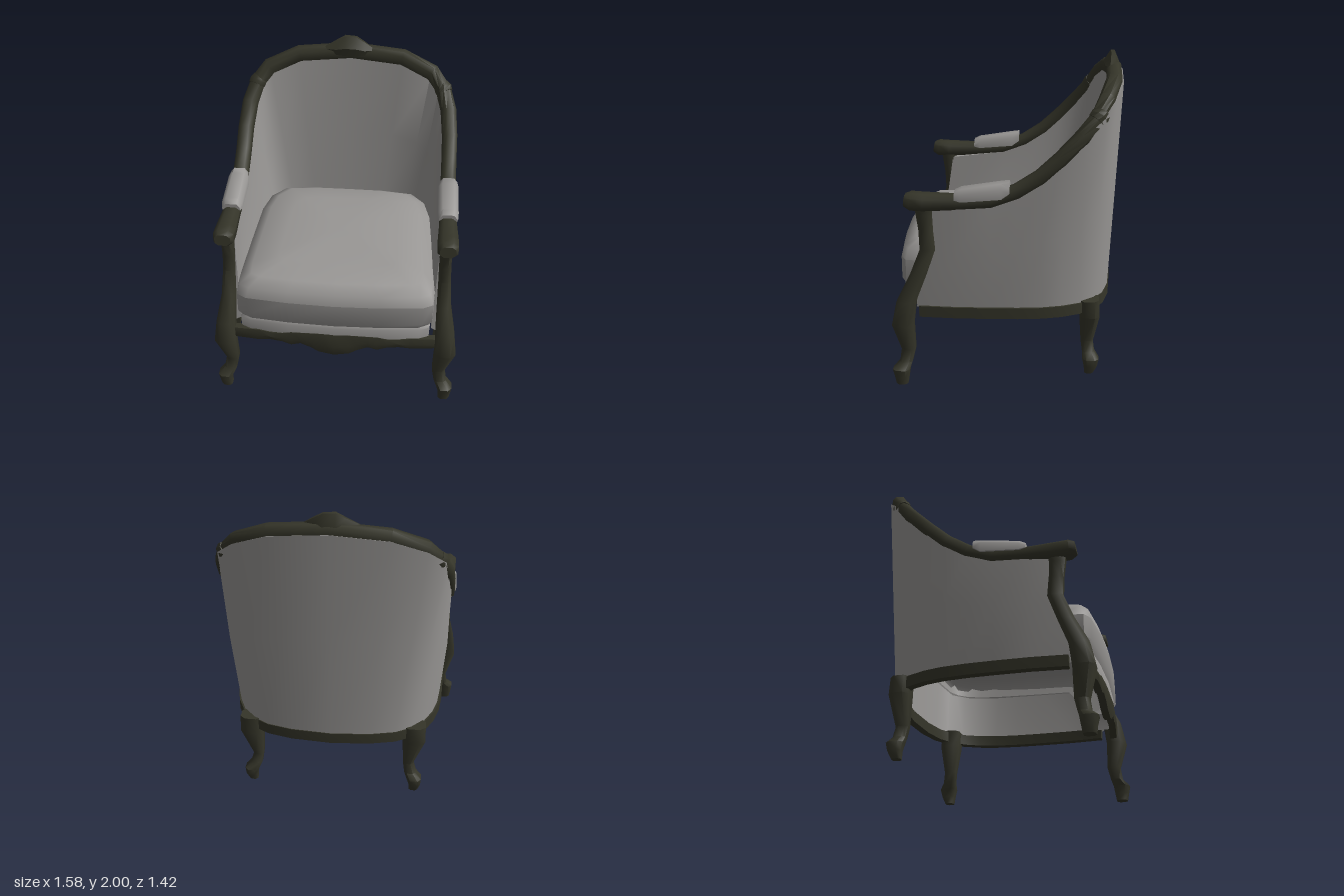
import * as THREE from 'three';
import { toCreasedNormals } from 'three/addons/utils/BufferGeometryUtils.js';

const wood = new THREE.MeshStandardMaterial({ color: 0x353529 });
wood.name = 'dark wood';
const fabric = new THREE.MeshStandardMaterial({ color: 0x999795, side: THREE.DoubleSide });
fabric.name = 'grey fabric';

const V = (x, y, z) => new THREE.Vector3(x, y, z);

// Skin through rings of equal point count; rings may be open, ends may be capped
function loft(rings, { crease = 0.9, closed = true, caps = [0, rings.length - 1] } = {}) {
  const n = rings[0].length, last = rings.length - 1;
  const pos = rings.flat().flatMap(p => [p.x, p.y, p.z]);
  const idx = [];
  for (let i = 0; i < last; i++) for (let j = 0; j < (closed ? n : n - 1); j++) {
    const a = i * n + j, b = i * n + (j + 1) % n;
    idx.push(a, b, b + n, a, b + n, a + n);
  }
  caps.forEach(i => {
    const c = rings[i].reduce((s, p) => s.add(p), V(0, 0, 0)).divideScalar(n);
    const k = pos.length / 3;
    pos.push(c.x, c.y, c.z);
    for (let j = 0; j < n; j++) {
      const a = i * n + j, b = i * n + (j + 1) % n;
      idx.push(...(i ? [k, a, b] : [k, b, a]));
    }
  });
  // Turn the faces outward
  const P = k => V(pos[3 * k], pos[3 * k + 1], pos[3 * k + 2]);
  let volume = 0;
  for (let t = 0; t < idx.length; t += 3) volume += P(idx[t]).dot(P(idx[t + 1]).cross(P(idx[t + 2])));
  if (volume < 0) idx.reverse();
  const g = new THREE.BufferGeometry();
  g.setAttribute('position', new THREE.Float32BufferAttribute(pos, 3));
  g.setIndex(idx);
  return toCreasedNormals(g, crease);
}

// Softly squared section; w and h are half sizes
function section(n, w, h, power = 0.75) {
  return Array.from({ length: n }, (_, j) => {
    const a = ((j + 0.5) / n) * Math.PI * 2;
    const f = v => Math.sign(v) * Math.abs(v) ** power;
    return [f(Math.cos(a)) * w, f(Math.sin(a)) * h];
  });
}

// Horizontal outward direction along a path
function outwardAt(path, i) {
  const t = path[Math.min(i + 1, path.length - 1)].clone().sub(path[Math.max(i - 1, 0)]).normalize();
  const out = V(-t.z, 0, t.x).normalize();
  return { out, up: V(0, 0, 0).crossVectors(t, out).normalize() };
}

function sweep(path, size, n = 8, power = 0.75) {
  return loft(path.map((p, i) => {
    const { out, up } = outwardAt(path, i);
    const [w, h] = size(i);
    return section(n, w, h, power).map(([a, b]) => p.clone().addScaledVector(out, a).addScaledVector(up, b));
  }));
}

// Legs use level rings: [x, y, z, half width, half depth]
const legLoft = (rows, s) => loft(rows.map(([x, y, z, w, d]) =>
  section(8, w, d).map(([a, b]) => V(s * (x + a), y, z + b))));

const bothSides = half => [...half, ...half.slice(0, -1).reverse().map(p => V(-p.x, p.y, p.z))];

export function createModel() {
  const chair = new THREE.Group();
  chair.name = 'armchair';
  const add = (name, geometry, material) => {
    const m = new THREE.Mesh(geometry, material);
    m.name = name;
    chair.add(m);
  };

  // Upholstered wrap: rail x, y, z | outer foot x, z | inner foot x, y, z
  const wrap = [
    [0.69, 1.15, 0.47, 0.675, 0.56, 0.625, 0.52, 0.56],
    [0.69, 1.17, 0.30, 0.69, 0.33, 0.61, 0.78, 0.33],
    [0.69, 1.195, 0.10, 0.69, 0.10, 0.60, 0.78, 0.10],
    [0.69, 1.25, -0.06, 0.685, -0.07, 0.59, 0.78, -0.06],
    [0.69, 1.34, -0.20, 0.67, -0.22, 0.58, 0.78, -0.2],
    [0.688, 1.45, -0.32, 0.64, -0.34, 0.56, 0.78, -0.31],
    [0.672, 1.58, -0.445, 0.59, -0.45, 0.53, 0.78, -0.40],
    [0.63, 1.69, -0.54, 0.51, -0.54, 0.48, 0.78, -0.46],
    [0.55, 1.775, -0.59, 0.41, -0.60, 0.41, 0.78, -0.495],
    [0.35, 1.855, -0.64, 0.25, -0.64, 0.25, 0.78, -0.512],
    [0, 1.885, -0.655, 0, -0.66, 0, 0.78, -0.515],
  ];
  const topPath = bothSides(wrap.map(r => V(r[0], r[1], r[2])));
  const outerFoot = bothSides(wrap.map(r => V(r[3], 0.49, r[4])));
  const innerFoot = bothSides(wrap.map(r => V(r[5], r[6], r[7])));
  const count = topPath.length;
  add('upholsteredBack', loft(topPath.map((p, i) => {
    const { out } = outwardAt(topPath, i);
    if (out.x * p.x + out.z * p.z < 0) out.negate();
    const k = Math.min(i, count - 1 - i);
    const outer = p.clone().addScaledVector(out, k < 1 ? 0.015 : k < 7 ? 0.032 : 0.057);
    const inner = p.clone().addScaledVector(out, -0.042);
    inner.y -= 0.03;
    // The arm sides swell slightly at mid height
    const outerMid = outerFoot[i].clone().lerp(outer, 0.5).addScaledVector(out, k > 0 && k < 6 ? 0.015 : 0);
    const innerMid = innerFoot[i].clone().lerp(inner, 0.5).addScaledVector(out, k > 0 && k < 8 ? 0.008 : 0);
    return [outerFoot[i], outerMid, outer, inner, innerMid, innerFoot[i]];
  }), { closed: false }), fabric);

  // Arm and top rail in one sweep
  const rail = bothSides([V(0.69, 1.19, 0.612), V(0.69, 1.185, 0.575), V(0.69, 1.18, 0.5),
    V(0.69, 1.182, 0.3), ...wrap.slice(2).map(r => V(r[0], r[1], r[2]))]);
  add('armAndTopRail', sweep(rail, i => {
    const k = Math.min(i, rail.length - 1 - i);
    return k === 0 ? [0.052, 0.038] : k < 3 ? [0.068, 0.056] : k < 5 ? [0.057, 0.047] : k < 10 ? [0.052, 0.046] : [0.05, 0.057];
  }), wood);

  // Carved crest on the top rail: x, bottom, top, centre z, half depth
  add('crest', loft([[-0.175, 1.9, 1.925, -0.625, 0.01], [-0.1, 1.875, 1.965, -0.635, 0.04],
    [-0.04, 1.87, 1.998, -0.64, 0.05], [0.035, 1.87, 1.992, -0.64, 0.05], [0.09, 1.875, 1.96, -0.635, 0.04],
    [0.155, 1.9, 1.92, -0.625, 0.01]].map(([x, lo, hi, z, d]) => {
    const mid = lo + (hi - lo) * 0.45;
    return [V(x, lo, z + d * 0.8), V(x, mid, z + d), V(x, hi, z + d * 0.1),
      V(x, hi, z - d * 0.4), V(x, mid, z - d), V(x, lo, z - d)];
  }), { crease: 0.6 }), wood);

  for (const s of [1, -1]) {
    const side = s > 0 ? 'left' : 'right';
    // Collar where the arm meets the top rail
    add(side + 'RailCollar', sweep([V(s * 0.64, 1.67, -0.522), V(s * 0.63, 1.69, -0.54), V(s * 0.613, 1.71, -0.551)],
      i => (i === 1 ? [0.058, 0.055] : [0.053, 0.05])), wood);

    // Arm pad
    add(side + 'ArmPad', loft([[0.31, 1.205, 1.25, 0.058], [0.27, 1.195, 1.268, 0.065],
      [0.03, 1.215, 1.305, 0.065], [-0.02, 1.25, 1.312, 0.058]].map(([z, lo, hi, w]) =>
      [[-w, lo], [-w, hi - 0.03], [-w * 0.6, hi], [w * 0.6, hi], [w, hi - 0.03], [w, lo]]
        .map(([x, y]) => V(s * (0.69 + x), y, z)))), fabric);

    // Front leg runs up into the arm post
    add(side + 'FrontLeg', legLoft([
      [0.685, 1.16, 0.495, 0.044, 0.06], [0.685, 1.10, 0.495, 0.04, 0.053], [0.685, 1.0, 0.487, 0.04, 0.047],
      [0.69, 0.88, 0.48, 0.043, 0.05], [0.695, 0.72, 0.54, 0.047, 0.054], [0.712, 0.55, 0.615, 0.064, 0.064],
      [0.722, 0.40, 0.64, 0.073, 0.07], [0.69, 0.22, 0.615, 0.044, 0.046], [0.705, 0.14, 0.63, 0.043, 0.042],
      [0.737, 0.10, 0.657, 0.052, 0.057], [0.74, 0.05, 0.655, 0.042, 0.047], [0.735, 0, 0.655, 0.038, 0.038]], s), wood);

    // Back leg
    add(side + 'BackLeg', legLoft([
      [0.533, 0.51, -0.512, 0.076, 0.066], [0.533, 0.40, -0.517, 0.078, 0.068], [0.50, 0.21, -0.505, 0.035, 0.042],
      [0.515, 0.14, -0.515, 0.04, 0.042], [0.543, 0.10, -0.53, 0.05, 0.056], [0.548, 0.05, -0.53, 0.04, 0.044],
      [0.54, 0, -0.52, 0.03, 0.03]], s), wood);
  }

  // Seat rail around the sides and back
  const seatRail = outerFoot.map(p => V(p.x * 0.985, 0.465, p.z * 0.97));
  add('seatRail', sweep(seatRail, () => [0.036, 0.05], 4, 1), wood);

  // Curved front apron with a scalloped lower edge and swollen middle: x, bottom, top
  const apronHalf = [[0.66, 0.425, 0.5], [0.5, 0.425, 0.51], [0.42, 0.437, 0.5], [0.34, 0.43, 0.502],
    [0.28, 0.41, 0.518], [0.22, 0.43, 0.52], [0.15, 0.4, 0.523], [0.1, 0.368, 0.525], [0.05, 0.358, 0.525], [0, 0.348, 0.525]];
  const apron = [...apronHalf, ...apronHalf.slice(0, -1).reverse().map(([x, a, b]) => [-x, a, b])];
  add('frontApron', loft(apron.map(([x, lo, hi]) => {
    const z = 0.685 - 0.09 * x * x;
    const swell = 0.01 + 0.015 * Math.exp(-x * x * 90);
    return [V(x, lo, z - 0.045), V(x, lo, z), V(x, (lo + hi) / 2, z + swell), V(x, hi, z), V(x, hi, z - 0.045)];
  }), { crease: 0.6 }), wood);

  // Domed seat, front edge first in its plan
  const planHalf = [[0, 0.70], [0.3, 0.69], [0.56, 0.665], [0.625, 0.63], [0.635, 0.5], [0.62, 0.1],
    [0.605, -0.22], [0.565, -0.39], [0.47, -0.5], [0.25, -0.528], [0, -0.53]];
  const plan = [...planHalf, ...planHalf.slice(1, -1).reverse().map(([x, z]) => [-x, z])];
  const level = (points, y, k) => points.map(([x, z]) => V(x * k, y, 0.08 + (z - 0.08) * k));
  const domeRows = [[0.78, 1], [0.85, 0.97], [0.895, 0.86], [0.926, 0.6], [0.94, 0.25]];
  add('seatCushion', loft(domeRows.map(([y, k]) => level(plan, y, k)), { crease: 1.1, caps: [4] }), fabric);

  // Front of the cushion running down into the covered strip below it
  const frontPlan = [...planHalf.slice(0, 5).reverse(), ...planHalf.slice(1, 5).map(([x, z]) => [-x, z])];
  const frontRows = [[0.78, 1], [0.64, 1], [0.595, 0.965], [0.58, 0.98], [0.48, 0.975]];
  add('cushionFront', loft(frontRows.map(([y, k]) => level(frontPlan, y, k)), { closed: false, caps: [] }), fabric);

  return chair;
}
